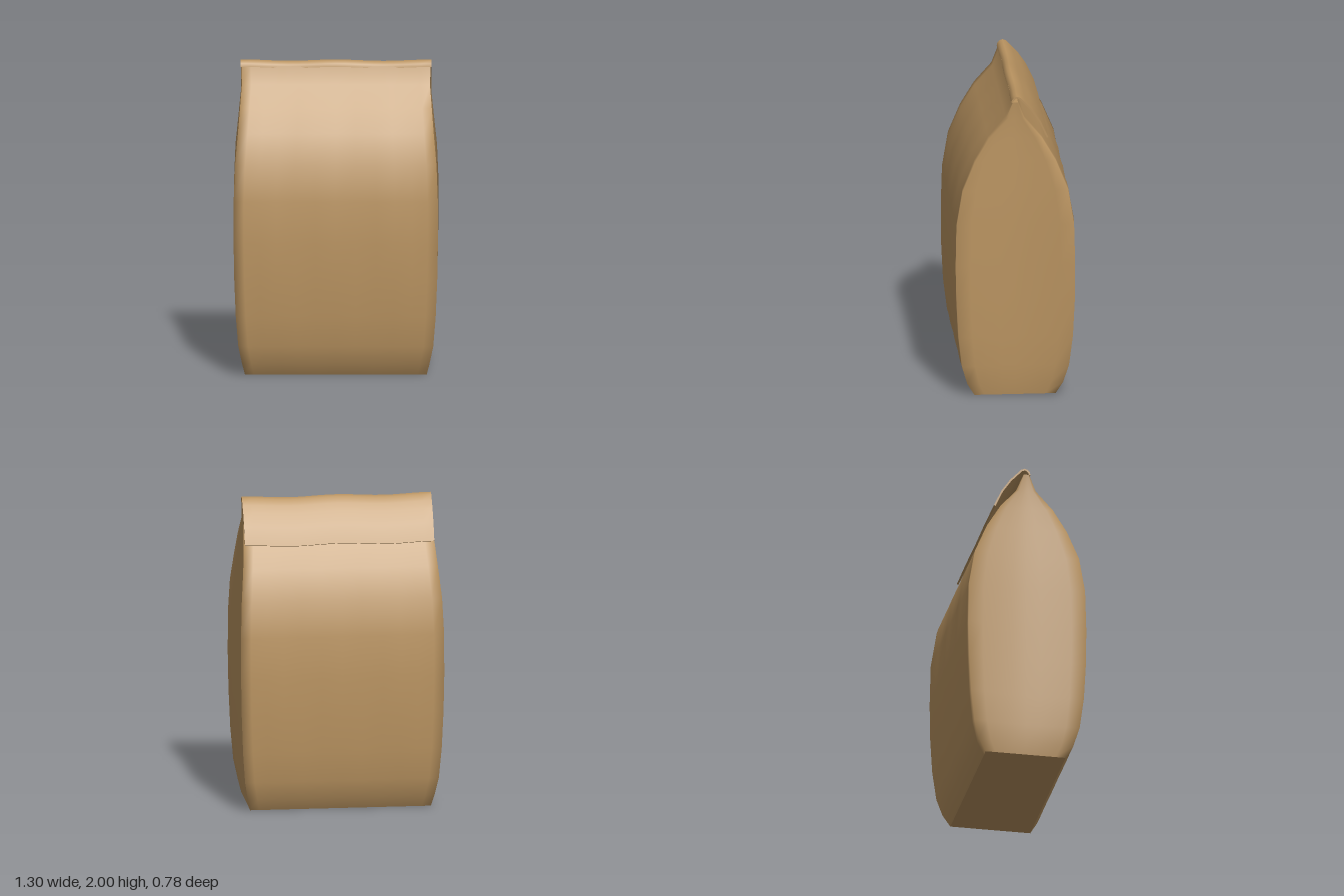
import * as THREE from 'three';
import { toCreasedNormals } from 'three/addons/utils/BufferGeometryUtils.js';

// Bag cross-sections: height, half width, half depth, half width at the gusset crease
const LEVELS = [
  [0, 0.58, 0.26, 0.58], [0.08, 0.598, 0.307, 0.592], [0.2, 0.622, 0.343, 0.6],
  [0.4, 0.638, 0.368, 0.605], [0.65, 0.648, 0.382, 0.607], [0.88, 0.652, 0.385, 0.608],
  [1.15, 0.652, 0.377, 0.608], [1.38, 0.643, 0.337, 0.605], [1.57, 0.625, 0.258, 0.6],
  [1.72, 0.612, 0.17, 0.597], [1.85, 0.6, 0.06, 0.595], [1.96, 0.604, 0.018, 0.603],
];
const ACROSS = [-1, -0.9, -0.75, -0.58, -0.4, -0.2, 0, 0.2, 0.4, 0.58, 0.75, 0.9, 1];
const SIDE = [0.75, 0.5, 0.25, 0, -0.25, -0.5, -0.75];

// Soft creases in the paper, fading out at the base and the top
function wrinkle(x, y) {
  const fade = Math.sin(Math.PI * Math.min(1, y / 1.9));
  return 0.005 * fade * Math.sin(x * 16 + y * 2.5);
}

// One closed outline, counter-clockwise from above
function outline([y, w, d, g]) {
  const bulge = (t) => g + (w - g) * Math.pow(Math.abs(t), 1.5);
  return [
    ...ACROSS.map((u) => [u * w, y, d + wrinkle(u * w, y)]),
    ...SIDE.map((t) => [bulge(t), y, t * d]),
    ...ACROSS.map((u) => [-u * w, y, -d + wrinkle(u * w + 1, y)]),
    ...SIDE.map((t) => [-bulge(t), y, -t * d]),
  ];
}

function buildGeometry(points, index) {
  const geo = new THREE.BufferGeometry();
  geo.setAttribute('position', new THREE.Float32BufferAttribute(points.flat(), 3));
  geo.setIndex(index);
  geo.computeVertexNormals();
  return geo;
}

// Smooth walls lofted through the outlines
function wallGeometry() {
  const rings = LEVELS.map(outline);
  const n = rings[0].length;
  const index = [];
  for (let r = 0; r < rings.length - 1; r++) {
    for (let i = 0; i < n; i++) {
      const a = r * n + i, b = r * n + (i + 1) % n;
      index.push(a, b, b + n, a, b + n, a + n);
    }
  }
  return buildGeometry(rings.flat(), index);
}

// Flat fan closing one outline
function capGeometry(level, up) {
  const ring = outline(level);
  const n = ring.length;
  const index = [];
  for (let i = 0; i < n; i++) {
    const j = (i + 1) % n;
    index.push(n, up ? i : j, up ? j : i);
  }
  return buildGeometry([...ring, [0, level[0], 0]], index);
}

// Folded strip: a thin profile (-z, y) swept across the bag, with a slightly wavy edge
function flapGeometry() {
  const outer = [[-0.023, 1.953], [-0.018, 1.973], [-0.004, 1.988], [0.014, 1.994], [0.038, 1.985],
    [0.07, 1.95], [0.11, 1.908], [0.165, 1.828], [0.215, 1.72]];
  const inner = [[0.205, 1.715], [0.156, 1.822], [0.102, 1.9], [0.062, 1.942],
    [0.033, 1.974], [0.014, 1.982], [0.003, 1.977], [-0.008, 1.966], [-0.013, 1.953]];
  const shape = new THREE.Shape([...outer, ...inner].map(([s, y]) => new THREE.Vector2(s, y)));
  const geo = new THREE.ExtrudeGeometry(shape, { depth: 1.216, steps: 20, bevelEnabled: false });
  geo.rotateY(Math.PI / 2);
  geo.translate(-0.608, 0, 0);
  const p = geo.attributes.position;
  for (let i = 0; i < p.count; i++) {
    const x = p.getX(i), wave = Math.cos(x * 10.5);
    p.setY(i, p.getY(i) + 0.005 * wave);
    p.setZ(i, p.getZ(i) + 0.003 * wave);
  }
  return toCreasedNormals(geo, 0.7);
}

export function createModel() {
  const paper = new THREE.MeshStandardMaterial({ color: 0xb99360, side: THREE.DoubleSide });
  paper.name = 'brown paper';
  const bag = new THREE.Group();
  bag.name = 'paperBag';
  const add = (name, geo) => {
    const mesh = new THREE.Mesh(geo, paper);
    mesh.name = name;
    bag.add(mesh);
  };
  add('bagWalls', wallGeometry());
  add('bagBase', capGeometry(LEVELS[0], false));
  add('bagTopSeam', capGeometry(LEVELS[LEVELS.length - 1], true));
  add('foldedFlap', flapGeometry());
  return bag;
}
